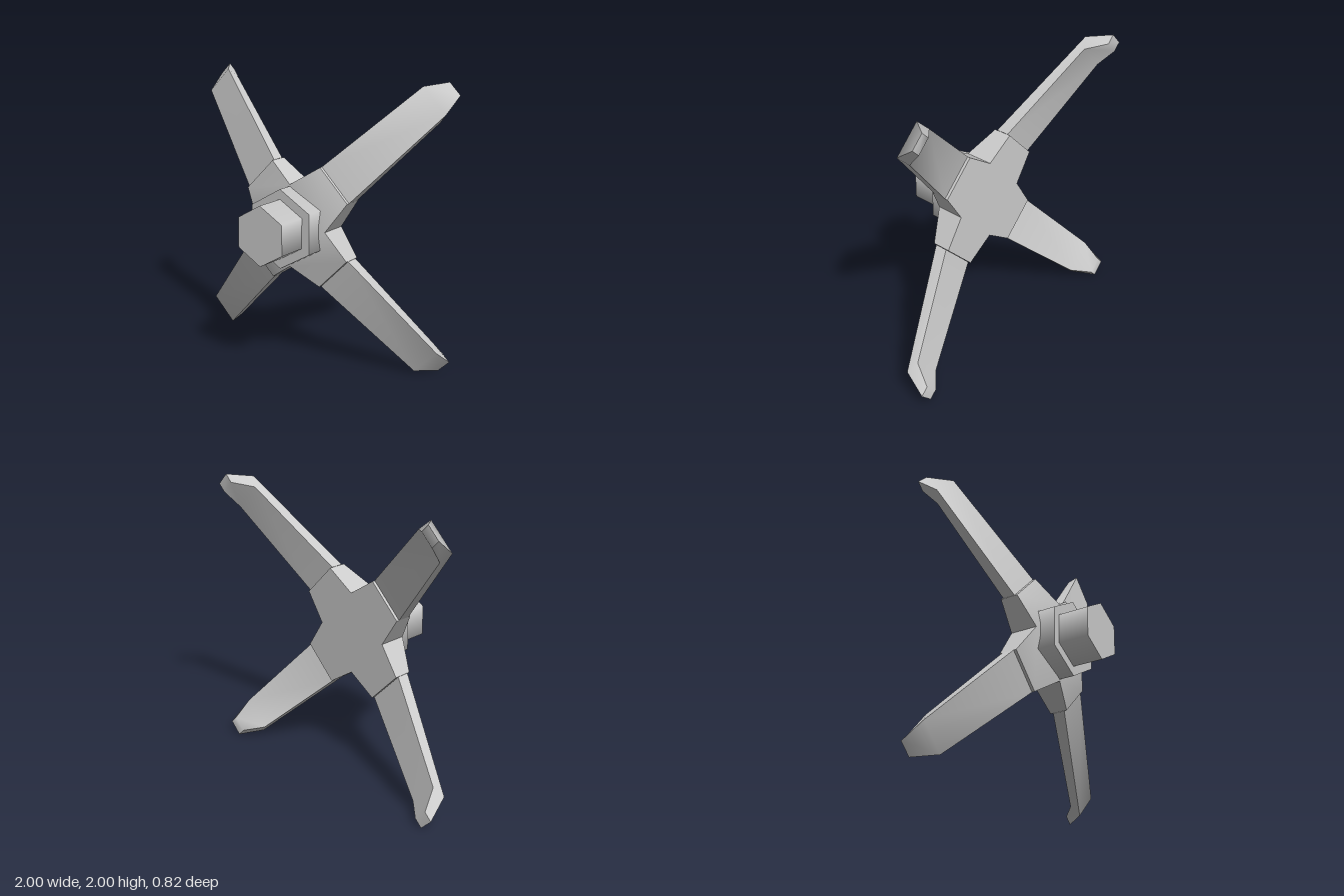
import * as THREE from 'three';
import { toCreasedNormals } from 'three/addons/utils/BufferGeometryUtils.js';

const CREASE = 0.8;

// Geometry from a list of four-cornered faces, counter-clockwise from outside
function fromQuads(quads) {
  const pos = [];
  for (const [a, b, c, d] of quads) pos.push(...a, ...b, ...c, ...a, ...c, ...d);
  const g = new THREE.BufferGeometry();
  g.setAttribute('position', new THREE.Float32BufferAttribute(pos, 3));
  return toCreasedNormals(g, CREASE);
}

// Cross-shaped hub: flat back, front sloping down from the centre to each arm end
function hubGeometry() {
  const back = -0.12;
  const front = [];
  for (let k = 0; k < 4; k++) {
    const c = [1, 0, -1, 0][k], s = [0, 1, 0, -1][k];
    for (const [x, y, z] of [[0.42, 0.2, 0.01], [0.2, 0.42, 0.01], [0, 0.29, 0.08]]) {
      front.push([c * x - s * y, s * x + c * y, z]);
    }
  }
  const rear = front.map(([x, y]) => [x, y, back]);
  const quads = [];
  const n = front.length;
  // side walls
  for (let i = 0; i < n; i++) {
    const j = (i + 1) % n;
    quads.push([rear[i], rear[j], front[j], front[i]]);
  }
  // four lobes, front and back
  for (let i = 0; i < n; i += 3) {
    const p = (i + n - 1) % n;
    quads.push([front[p], front[i], front[i + 1], front[i + 2]]);
    quads.push([rear[i + 2], rear[i + 1], rear[i], rear[p]]);
  }
  // centre squares
  quads.push([front[2], front[5], front[8], front[11]]);
  quads.push([rear[11], rear[8], rear[5], rear[2]]);
  return fromQuads(quads);
}

// Arm along +x, bent back and narrowed at the tip
function armGeometry() {
  // [half width, front radius, front z, back radius, back z]
  const sections = [
    [0.156, 0.44, -0.01, 0.44, -0.1],
    [0.12, 1.266, -0.26, 1.18, -0.3],
    [0.057, 1.358, -0.41, 1.287, -0.41],
  ].map(([h, rf, zf, rb, zb]) => [[rb, -h, zb], [rb, h, zb], [rf, h, zf], [rf, -h, zf]]);
  const quads = [];
  for (let s = 0; s < sections.length - 1; s++) {
    const a = sections[s], b = sections[s + 1];
    for (let i = 0; i < 4; i++) {
      const j = (i + 1) % 4;
      quads.push([a[i], a[j], b[j], b[i]]);
    }
  }
  quads.push(sections[2], [...sections[0]].reverse());
  return fromQuads(quads);
}

// Softly shaded six-sided prism between two depths
function hexPrism(radius, z0, z1) {
  const g = new THREE.CylinderGeometry(radius, radius, z1 - z0, 6);
  return g.rotateX(Math.PI / 2).translate(0, 0, (z0 + z1) / 2);
}

export function createModel() {
  const group = new THREE.Group();
  const material = new THREE.MeshStandardMaterial({ color: 0xcccccc });
  const add = (name, geometry) => {
    const mesh = new THREE.Mesh(geometry, material);
    mesh.name = name;
    mesh.position.y = 1;
    group.add(mesh);
    return mesh;
  };

  add('hub', hubGeometry());
  add('hexFlange', hexPrism(0.278, 0, 0.19));
  add('hexShaft', hexPrism(0.209, 0.18, 0.41));

  // Four arms on the diagonals
  const arm = armGeometry();
  ['upperLeftArm', 'upperRightArm', 'lowerRightArm', 'lowerLeftArm'].forEach((name, k) => {
    add(name, arm).rotation.z = Math.PI / 4 + (k * Math.PI) / 2;
  });
  return group;
}
